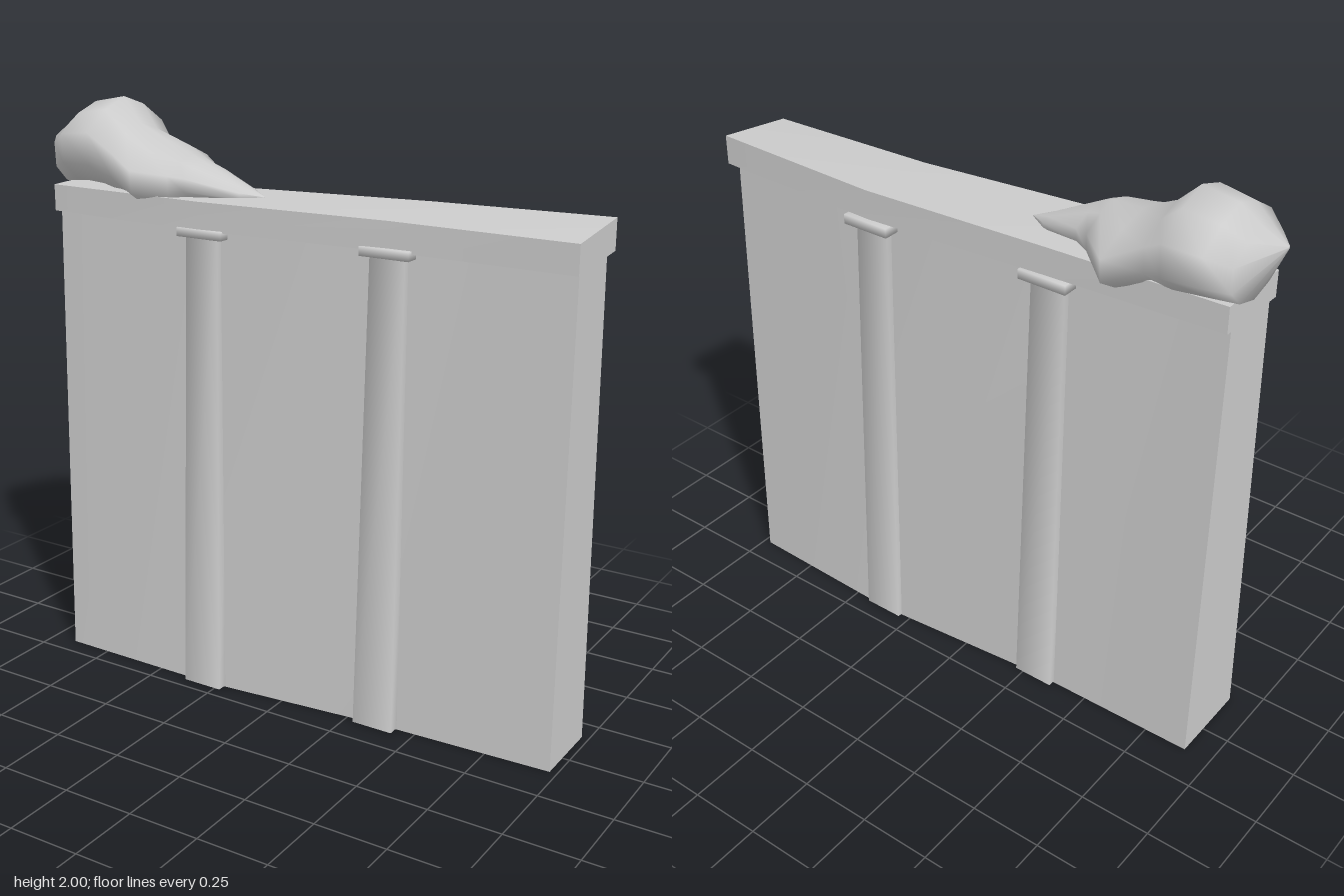
import * as THREE from 'three';
import { toCreasedNormals } from 'three/addons/utils/BufferGeometryUtils.js';

const material = new THREE.MeshStandardMaterial({ color: 0xcccccc, side: THREE.DoubleSide });

// Skins a list of equal-length rings; options close the ring and fill the two ends.
function loft(rings, { closed = true, ends = [true, true] } = {}) {
  const n = rings[0].length, index = [];
  for (let r = 0; r < rings.length - 1; r++) {
    for (let i = 0; i < (closed ? n : n - 1); i++) {
      const a = r * n + i, b = r * n + (i + 1) % n;
      index.push(a, b, a + n, b, b + n, a + n);
    }
  }
  const last = (rings.length - 1) * n;
  for (let i = 1; i < n - 1; i++) {
    if (ends[0]) index.push(0, i + 1, i);
    if (ends[1]) index.push(last, last + i, last + i + 1);
  }
  const g = new THREE.BufferGeometry();
  g.setAttribute('position', new THREE.Float32BufferAttribute(rings.flat(2), 3));
  g.setIndex(index);
  g.computeVertexNormals();
  return g;
}

function add(parent, name, geometry) {
  const mesh = new THREE.Mesh(geometry, material);
  mesh.name = name;
  parent.add(mesh);
}

// Tapered block between two heights, smooth-shaded; each level is [y, x0, x1, z0, z1].
function block(levels, ends) {
  return loft(levels.map(([y, x0, x1, z0, z1]) =>
    [[x0, y, z0], [x0, y, z1], [x1, y, z1], [x1, y, z0]].reverse()), { ends });
}

export function createModel() {
  const model = new THREE.Group();
  model.name = 'wallSection';

  // Battered wall on a gently bent plan, open underneath:
  // x, back and front z at the foot, back and front z at the top
  const wall = [
    [-0.905, -0.12, 0.18, -0.08, 0.14],
    [-0.3, -0.125, 0.185, -0.09, 0.15],
    [0.36, -0.18, 0.125, -0.14, 0.085],
    [0.975, -0.16, 0.10, -0.13, 0.075],
  ].map(([x, b0, f0, b1, f1]) =>
    [[x, 0, b0], [x, 1.64, b1], [x, 1.64, f1], [x, 0, f0]]);
  add(model, 'wall', toCreasedNormals(loft(wall, { closed: false }), 0.5));

  // Coping following the same bend, tilting up at the back of its left end:
  // x, back z, front z, back and front bottom, back and front top
  const coping = [
    [-0.912, -0.115, 0.165, 1.625, 1.62, 1.715, 1.71],
    [-0.3, -0.13, 0.18, 1.615, 1.615, 1.71, 1.71],
    [0.36, -0.18, 0.115, 1.62, 1.61, 1.72, 1.705],
    [0.985, -0.17, 0.103, 1.632, 1.605, 1.733, 1.70],
  ].map(([x, b, f, yb, yf, tb, tf]) =>
    [[x, yb, b], [x, tb, b], [x, tf, f], [x, yf, f]]);
  add(model, 'coping', toCreasedNormals(loft(coping), 0.5));

  // Tapered pilasters with flat capitals: x, facing, z at foot, z at top, capital z
  const pilasters = [
    [-0.297, 1, 0.215, 0.165, 0.182],
    [0.36, 1, 0.163, 0.108, 0.132],
    [-0.297, -1, -0.15, -0.113, -0.147],
    [0.36, -1, -0.192, -0.158, -0.192],
  ];
  for (const [x, side, foot, top, capital] of pilasters) {
    const pilaster = new THREE.Group();
    pilaster.name = side > 0 ? 'frontPilaster' : 'backPilaster';
    const span = (z, depth) => [Math.min(z, z - side * depth), Math.max(z, z - side * depth)];
    add(pilaster, 'shaft', block([
      [0.005, x - 0.073, x + 0.073, ...span(foot, 0.1)],
      [1.6, x - 0.062, x + 0.062, ...span(top, 0.1)],
    ], [false, false]));
    const [y0, y1] = side > 0 ? [1.59, 1.62] : [1.582, 1.615];
    add(pilaster, 'capital', block([
      [y0, x - 0.087, x + 0.087, ...span(capital, 0.1)],
      [y1, x - 0.087, x + 0.087, ...span(capital, 0.1)],
    ], [true, true]));
    model.add(pilaster);
  }

  // Lumpy mound resting on one end: x, back z, front z, bottom y, top y
  const half = [[0, 1], [0.5, 0.78], [1, 0.35], [0.97, -0.35], [0.6, -0.8], [0, -1]];
  const section = [...half, ...half.slice(1, -1).reverse().map(([z, y]) => [-z, y])];
  const mound = [
    [-0.99, 0.045, 0.055, 1.85, 1.86],
    [-0.925, -0.14, 0.14, 1.69, 1.925],
    [-0.86, -0.2, 0.18, 1.70, 1.977],
    [-0.74, -0.22, 0.19, 1.69, 2.0],
    [-0.655, -0.165, 0.175, 1.675, 1.918],
    [-0.55, -0.224, 0.21, 1.64, 1.865],
    [-0.42, -0.1, 0.18, 1.665, 1.837],
    [-0.37, -0.08, 0.16, 1.69, 1.815],
    [-0.22, -0.035, 0.06, 1.69, 1.745],
    [-0.153, 0.008, 0.012, 1.71, 1.715],
  ].map(([x, b, f, y0, y1]) => section.map(([z, y]) =>
    [x, (y0 + y1) / 2 + y * (y1 - y0) / 2, (b + f) / 2 + z * (f - b) / 2]));
  // Reversed so the faces wind outward
  add(model, 'mound', loft(mound.map((ring) => ring.reverse())));

  return model;
}
